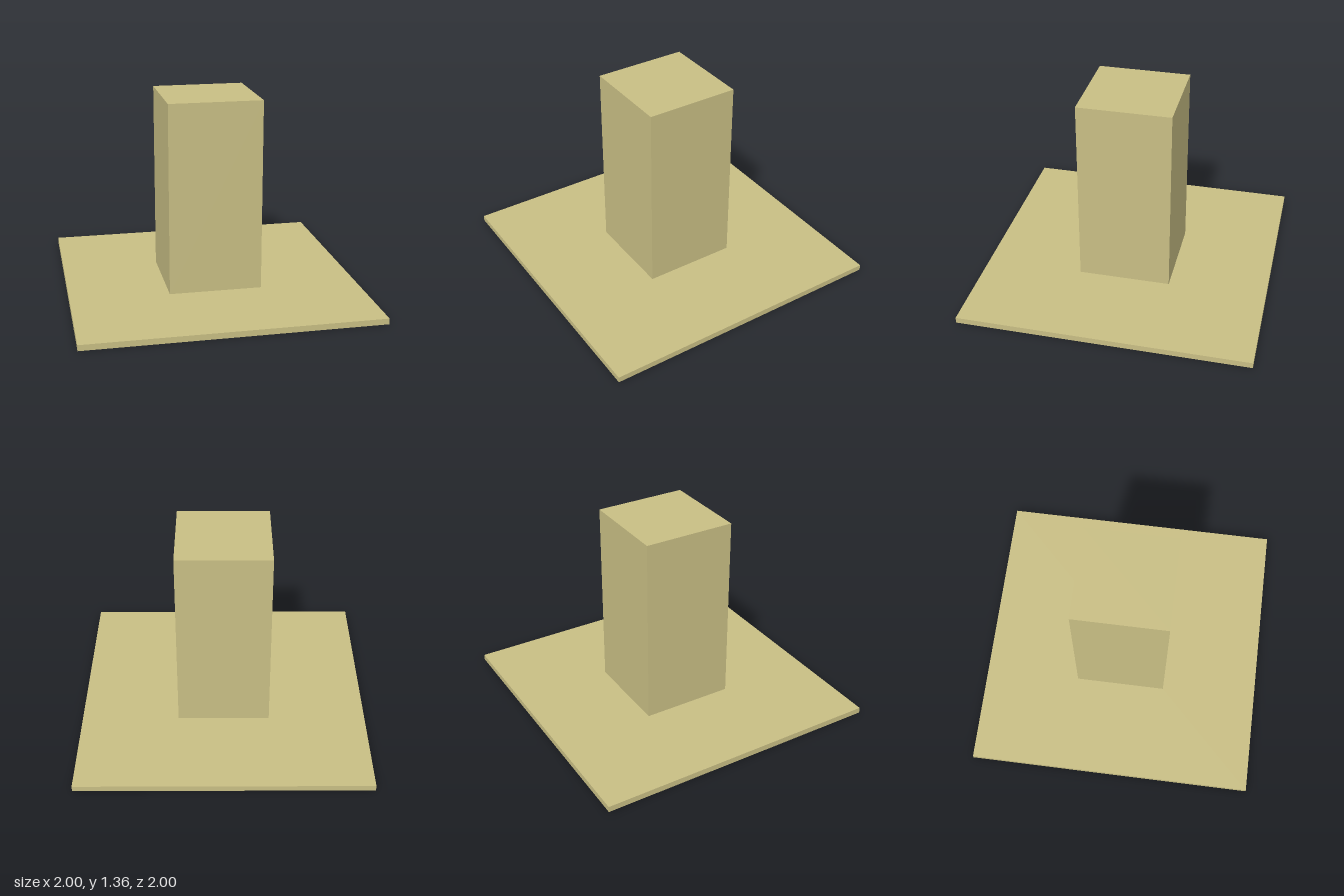
import * as THREE from 'three';

export function createModel() {
  const group = new THREE.Group();
  const material = new THREE.MeshStandardMaterial({ color: 0xc8be84 });

  // Square-plan block standing on height y
  function addBlock(name, width, height, y) {
    const mesh = new THREE.Mesh(new THREE.BoxGeometry(width, height, width), material);
    mesh.name = name;
    mesh.position.y = y + height / 2;
    group.add(mesh);
  }

  // Thin base plate with a square pillar at its centre
  const plateHeight = 0.04;
  addBlock('basePlate', 2, plateHeight, 0);
  addBlock('pillar', 0.64, 1.32, plateHeight);

  return group;
}
